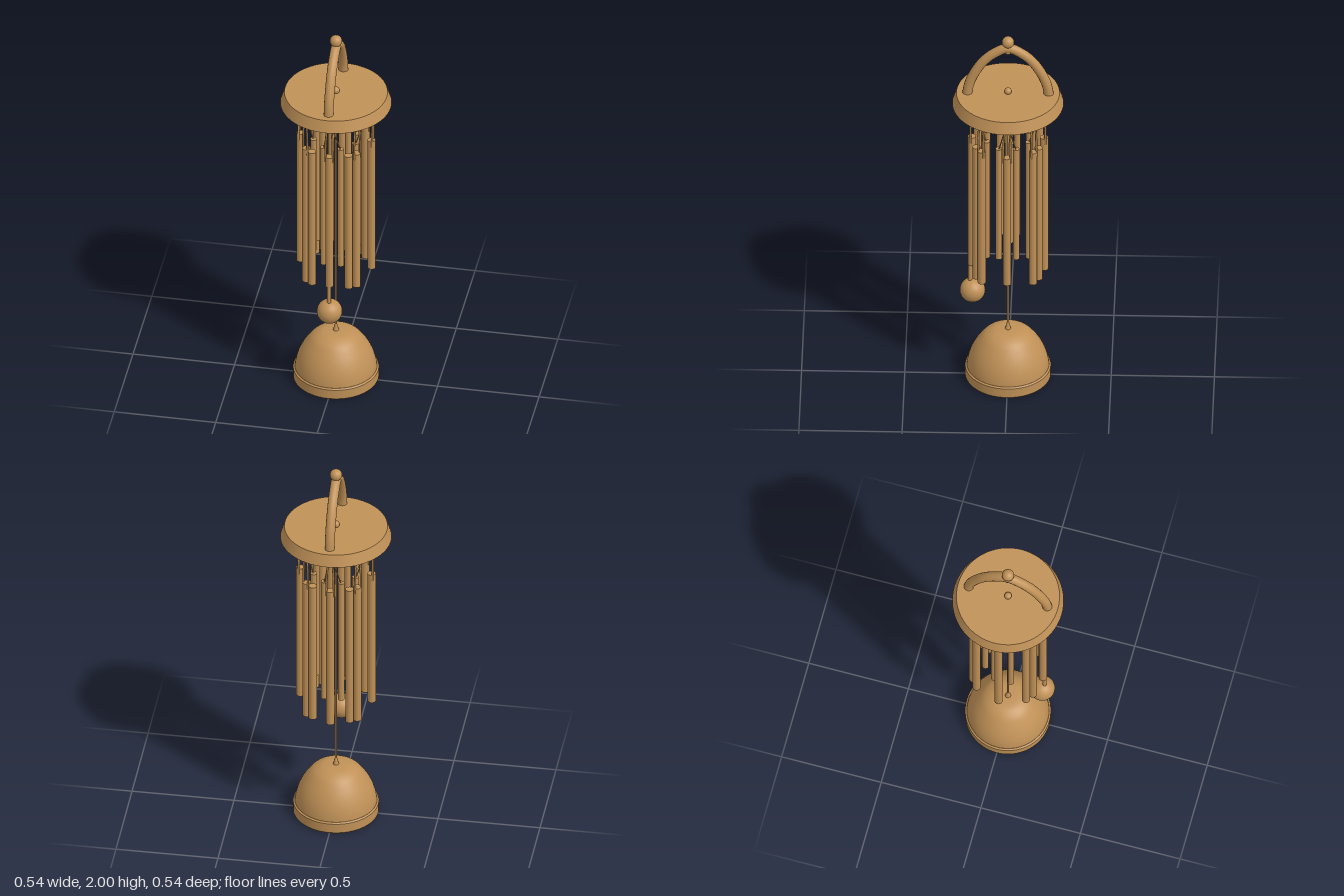
import * as THREE from 'three';

export function createModel() {
  const model = new THREE.Group();
  model.name = 'windChime';
  const wood = new THREE.MeshStandardMaterial({ color: 0xc09157 });
  wood.name = 'warm wood';

  const add = (name, geometry, x = 0, y = 0, z = 0, parent = model) => {
    const mesh = new THREE.Mesh(geometry, wood);
    mesh.name = name;
    mesh.position.set(x, y, z);
    parent.add(mesh);
    return mesh;
  };
  // upright rod between two heights
  const rod = (name, radius, y0, y1, x, z, parent, sides = 14) =>
    add(name, new THREE.CylinderGeometry(radius, radius, y1 - y0, sides), x, (y0 + y1) / 2, z, parent);
  const tube = (points, radius, segments, sides) =>
    new THREE.TubeGeometry(new THREE.CatmullRomCurve3(points), segments, radius, sides);
  const v = (x, y, z) => new THREE.Vector3(x, y, z);

  // top disc with sloping rim, and its centre knot
  add('topDisc', new THREE.CylinderGeometry(0.25, 0.27, 0.06, 64), 0, 1.64, 0);
  add('centreKnot', new THREE.SphereGeometry(0.018, 16, 10), 0, 1.68, 0);

  // carrying arch with a ball on top and a small knot beneath
  const half = [[1.65, 0.2], [1.72, 0.188], [1.79, 0.16], [1.86, 0.115], [1.905, 0.065], [1.935, 0]];
  const arch = [
    ...half.map(([y, z]) => v(0, y, z)),
    ...half.slice(0, -1).reverse().map(([y, z]) => v(0, y, -z)),
  ];
  add('arch', tube(arch, 0.024, 48, 14));
  add('archBall', new THREE.SphereGeometry(0.03, 20, 14), 0, 1.97, 0);
  add('archKnot', new THREE.SphereGeometry(0.022, 14, 10), 0, 1.922, 0);

  // outer ring: single chimes front, back and sides, pairs on the diagonals
  const outer = new THREE.Group();
  outer.name = 'outerChimes';
  model.add(outer);
  const R = 0.175;
  const addChime = (degrees, bottom) => {
    const chime = new THREE.Group();
    chime.name = 'outerChime';
    chime.rotation.y = THREE.MathUtils.degToRad(degrees);
    outer.add(chime);
    rod('chimeTube', 0.02, bottom, 1.41, 0, R, chime, 18);
    return chime;
  };
  const addLoop = (chime) => {
    const z = R + 0.006;
    const loop = [v(-0.018, 1.38, z), v(-0.016, 1.5, z), v(-0.008, 1.59, z), v(0, 1.61, z),
      v(0.008, 1.59, z), v(0.016, 1.5, z), v(0.018, 1.38, z)];
    add('cordLoop', tube(loop, 0.005, 28, 8), 0, 0, 0, chime);
  };
  for (const [degrees, bottom] of [[0, 0.65], [90, 0.66], [180, 0.63], [270, 0.66]]) {
    addLoop(addChime(degrees, bottom));
  }
  for (const side of [1, -1]) {
    for (const [main, partner] of [[45, 31], [135, 149]]) {
      addLoop(addChime(side * main, 0.63));
      addChime(side * partner, 0.635);
    }
  }

  // inner ring of thinner, shorter chimes, hung from the nearest single hook
  const inner = new THREE.Group();
  inner.name = 'innerChimes';
  model.add(inner);
  for (let i = 0; i < 8; i++) {
    const a = ((i + 0.5) * Math.PI) / 4;
    const x = 0.11 * Math.sin(a), z = 0.11 * Math.cos(a);
    rod('innerTube', 0.016, Math.abs(x) > Math.abs(z) ? 0.76 : 0.725, 1.41, x, z, inner);
    const b = (Math.round(a / (Math.PI / 2)) * Math.PI) / 2;
    const cord = new THREE.LineCurve3(v(x, 1.4, z), v(R * Math.sin(b), 1.61, R * Math.cos(b)));
    add('innerCord', new THREE.TubeGeometry(cord, 1, 0.003, 6), 0, 0, 0, inner);
  }

  // striker ball under the front chime
  rod('strikerRod', 0.01, 0.54, 0.67, 0, 0.183);
  add('strikerBall', new THREE.SphereGeometry(0.062, 28, 18), 0, 0.497, 0.172);

  // centre cord and the knot where it meets the bell
  rod('centreCord', 0.005, 0.26, 1.62, 0, 0, model, 8);
  add('bellKnot', new THREE.CylinderGeometry(0.005, 0.016, 0.045, 14), 0, 0.285, 0);

  // bell: domed body above a shallow band
  const dome = [[0.2, 0.055], [0.195, 0.09], [0.184, 0.13], [0.166, 0.17], [0.144, 0.205],
    [0.117, 0.238], [0.087, 0.258], [0.055, 0.268], [0, 0.271]].map(([r, y]) => new THREE.Vector2(r, y));
  const profile = new THREE.SplineCurve(dome).getPoints(28);
  add('bellDome', new THREE.LatheGeometry(profile, 56));
  add('bellBand', new THREE.CylinderGeometry(0.208, 0.208, 0.05, 56), 0, 0.031, 0);
  add('bellBase', new THREE.CylinderGeometry(0.208, 0.203, 0.006, 56), 0, 0.003, 0);
  add('bellShoulder', new THREE.CylinderGeometry(0.2, 0.208, 0.006, 56), 0, 0.059, 0);

  return model;
}
